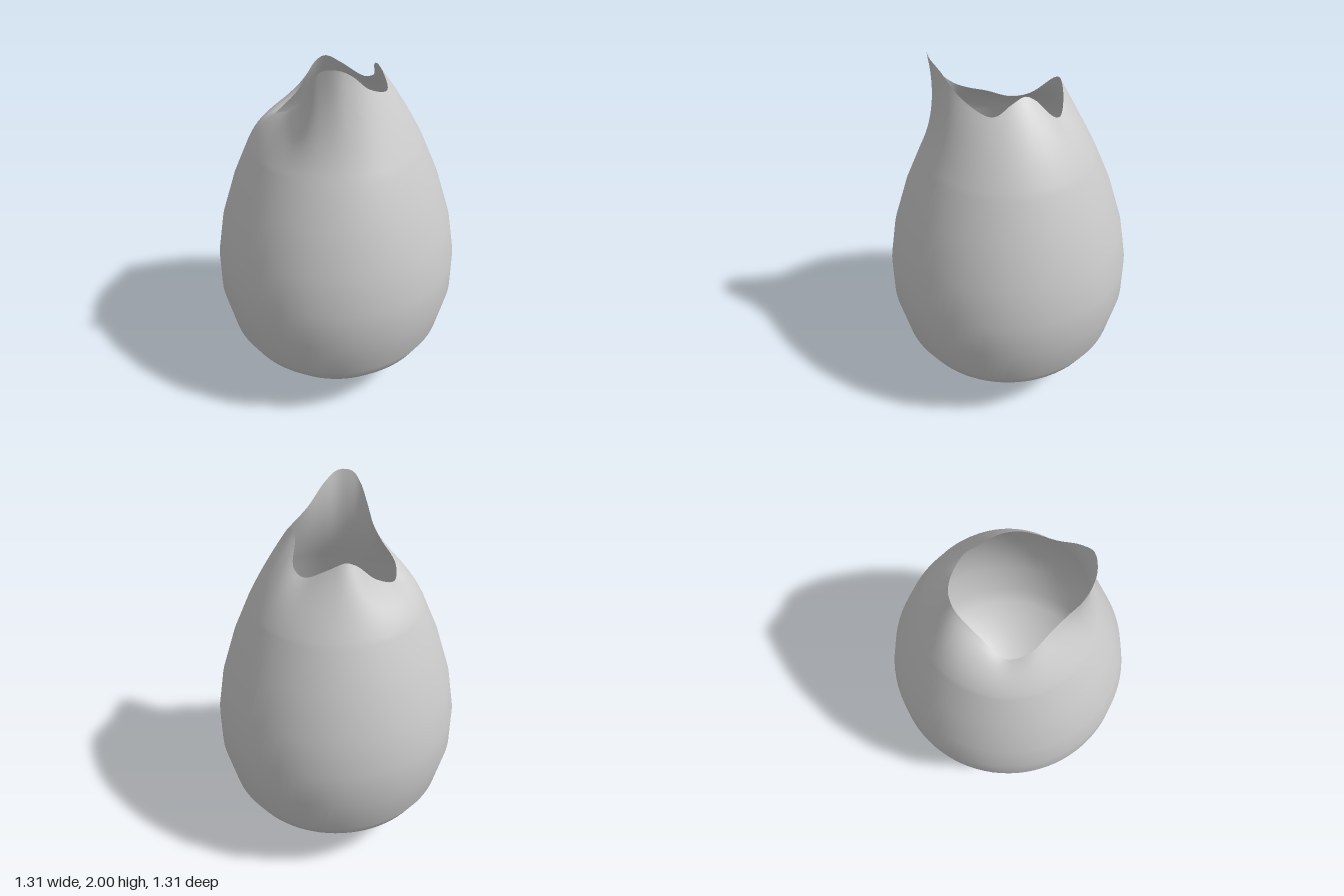
import * as THREE from 'three';

const COLUMNS = 96;
const LIP_ROWS = 12;

// Egg profile from the bottom up to where the broken top begins: [radius, y]
const PROFILE = [
  [0, 0], [0.1, 0.008], [0.2, 0.03], [0.33, 0.085], [0.46, 0.18], [0.55, 0.28], [0.602, 0.37],
  [0.655, 0.6], [0.655, 0.8], [0.62, 1.01], [0.545, 1.25], [0.46, 1.45],
];

// Wavy rim with one tall horn and two small crests: [x, y, z]
const RIM = [
  [-0.285, 1.71, 0.03], [-0.285, 1.64, -0.11], [-0.22, 1.6, -0.205], [-0.09, 1.66, -0.237],
  [0.05, 1.79, -0.272], [0.1, 1.81, -0.26], [0.17, 1.77, -0.215], [0.25, 1.71, -0.12],
  [0.265, 1.74, -0.05], [0.215, 1.83, 0.02], [0.197, 1.86, 0.07], [0.185, 1.84, 0.14],
  [0.15, 1.79, 0.23], [0.0, 1.85, 0.292], [-0.12, 1.955, 0.318], [-0.2, 2.0, 0.322],
  [-0.262, 1.995, 0.285], [-0.29, 1.94, 0.25], [-0.3, 1.84, 0.19], [-0.288, 1.76, 0.11],
];

// One vertical section of the shell, bending from the egg wall to a rim point
function section(rim) {
  const [r0, y0] = PROFILE[PROFILE.length - 1];
  const rise = 0.06 + 0.36 * (rim.y - y0);
  const lip = new THREE.QuadraticBezierCurve(
    new THREE.Vector2(r0, y0),
    new THREE.Vector2(r0 - 0.48 * rise, y0 + rise),
    new THREE.Vector2(Math.hypot(rim.x, rim.z), rim.y),
  );
  const wall = PROFILE.map(([r, y]) => new THREE.Vector2(r, y));
  return wall.concat(lip.getPoints(LIP_ROWS).slice(1));
}

function shellGeometry() {
  const rimCurve = new THREE.CatmullRomCurve3(RIM.map((p) => new THREE.Vector3(...p)), true);
  const positions = [];
  const index = [];
  const rows = PROFILE.length + LIP_ROWS;
  for (let i = 0; i < COLUMNS; i++) {
    const rim = rimCurve.getPointAt(i / COLUMNS);
    const angle = Math.atan2(rim.z, rim.x);
    for (const p of section(rim)) {
      positions.push(p.x * Math.cos(angle), p.y, p.x * Math.sin(angle));
    }
    const next = (i + 1) % COLUMNS;
    for (let j = 0; j < rows - 1; j++) {
      const a = i * rows + j;
      const b = next * rows + j;
      if (j > 0) index.push(a, a + 1, b);
      index.push(a + 1, b + 1, b);
    }
  }
  const geometry = new THREE.BufferGeometry();
  geometry.setAttribute('position', new THREE.Float32BufferAttribute(positions, 3));
  geometry.setIndex(index);
  geometry.computeVertexNormals();
  // All columns share the bottom point, so its normal is straight down
  for (let i = 0; i < COLUMNS; i++) geometry.attributes.normal.setXYZ(i * rows, 0, -1, 0);
  return geometry;
}

export function createModel() {
  const group = new THREE.Group();
  group.name = 'openEgg';
  const shell = new THREE.Mesh(
    shellGeometry(),
    new THREE.MeshStandardMaterial({ color: 0xcccccc, side: THREE.DoubleSide }),
  );
  shell.name = 'shell';
  group.add(shell);
  return group;
}
